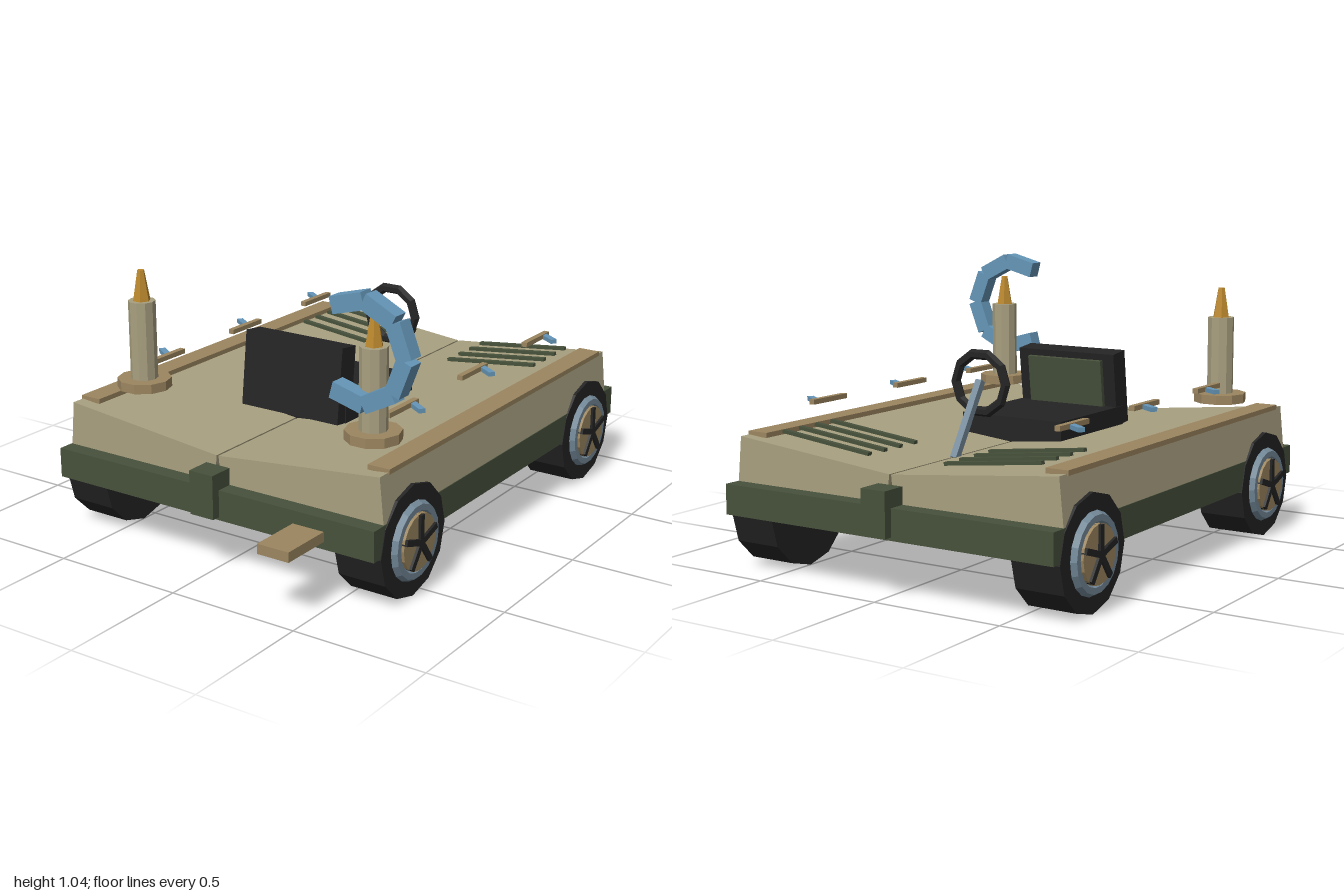
import * as THREE from 'three';

const mat = (name, color) => {
  const m = new THREE.MeshStandardMaterial({ color, flatShading: true });
  m.name = name;
  return m;
};

export function createModel() {
  const beige = mat('beige', 0xa8a080), brown = mat('brown', 0x9c8660);
  const green = mat('green', 0x47513b), black = mat('black', 0x242425);
  const blue = mat('blue', 0x6596b8), steel = mat('steel', 0x748a9a);
  const gold = mat('gold', 0xbd8a2e);

  const model = new THREE.Group();
  model.name = 'buggy';

  const add = (name, geo, material, x, y, z, parent = model) => {
    const mesh = new THREE.Mesh(geo, material);
    mesh.name = name;
    mesh.position.set(x, y, z);
    parent.add(mesh);
    return mesh;
  };
  const box = (name, material, w, h, d, x, y, z, parent) =>
    add(name, new THREE.BoxGeometry(w, h, d), material, x, y, z, parent);
  // Upright cylinder with a corner pointing along x
  const post = (name, material, rTop, rBottom, y0, y1, sides, parent) => {
    const geo = new THREE.CylinderGeometry(rTop, rBottom, y1 - y0, sides);
    geo.rotateY(Math.PI / 2);
    return add(name, geo, material, 0, (y0 + y1) / 2, 0, parent);
  };

  // Chassis, bumper blocks and front plank
  box('chassis', green, 1.36, 0.11, 1.77, 0, 0.263, -0.083);
  box('frontBumperBlock', green, 0.1, 0.16, 0.1, 0, 0.3, 0.785);
  box('rearBumperBlock', green, 0.1, 0.16, 0.1, 0, 0.3, -0.95);
  box('frontPlank', brown, 0.125, 0.036, 0.24, 0.422, 0.253, 0.88);

  for (const s of [1, -1]) {
    // Tilted half of the body, leaving a narrow centre seam
    const half = new THREE.BoxGeometry(0.66, 0.18, 1.645);
    half.translate(0.33, -0.09, 0);
    if (s < 0) half.rotateY(Math.PI);
    box('rail', brown, 0.085, 0.018, 1.55, s * 0.624, 0.484, -0.085);
    const body = add('bodyHalf', half, beige, s * 0.004, 0.415, -0.082);
    body.rotation.z = s * 0.1;

    // Rear vent slats
    for (let i = 0; i < 4; i++) {
      const slat = box('ventSlat', green, 0.385, 0.012, 0.02, s * 0.35, 0.475, -0.81 + i * 0.087);
      slat.rotation.z = s * 0.113;
    }

    // Side handles with slanted pegs
    for (const z of [0.38, -0.105, -0.595]) {
      box('handleBar', brown, 0.022, 0.018, 0.185, s * 0.518, 0.586, z);
      const peg = box('handlePeg', blue, 0.08, 0.016, 0.024, s * 0.557, 0.584, z - 0.037);
      peg.rotation.y = -0.6;
    }

    // Lamp posts
    const lamp = new THREE.Group();
    lamp.name = 'lampPost';
    lamp.position.set(s * 0.5, 0, 0.53);
    post('lampBase', brown, 0.1, 0.1, 0.515, 0.55, 10, lamp);
    post('lampColumn', beige, 0.05, 0.05, 0.55, 0.842, 10, lamp);
    post('lampFlame', gold, 0.013, 0.033, 0.842, 0.955, 6, lamp);
    model.add(lamp);

    // Wheels, outward along local +x
    for (const z of [0.562, -0.733]) {
      const wheel = new THREE.Group();
      wheel.name = 'wheel';
      wheel.position.set(0, 0.202, z);
      if (s < 0) wheel.rotation.y = Math.PI;
      const disc = (name, material, r, x0, x1, sides) => {
        const geo = new THREE.CylinderGeometry(r, r, x1 - x0, sides);
        geo.rotateZ(-Math.PI / 2);
        return add(name, geo, material, (x0 + x1) / 2, 0, 0, wheel);
      };
      disc('tyre', black, 0.202, 0.5, 0.683, 12);
      disc('hubDisc', brown, 0.102, 0.67, 0.708, 16);
      const ring = new THREE.TorusGeometry(0.12, 0.022, 6, 18);
      ring.rotateY(Math.PI / 2);
      add('rim', ring, steel, 0.683, 0, 0, wheel);
      for (let i = 0; i < 5; i++) {
        const geo = new THREE.BoxGeometry(0.03, 0.1, 0.022);
        geo.translate(0, 0.05, 0);
        add('spoke', geo, black, 0.703, 0, 0, wheel).rotation.x = (i * 2 * Math.PI) / 5;
      }
      model.add(wheel);
    }
  }

  // Seat facing the steering wheel
  box('seatBase', black, 0.432, 0.1, 0.45, 0, 0.457, 0.047);
  const back = new THREE.Group();
  back.name = 'seatBack';
  back.position.set(0, 0.576, 0.262);
  back.rotation.x = -0.12;
  box('backrest', black, 0.424, 0.28, 0.085, 0, 0, 0, back);
  box('backPad', green, 0.325, 0.21, 0.02, 0, 0.01, -0.05, back);
  model.add(back);

  // Steering wheel and slanted column
  add('steeringWheel', new THREE.TorusGeometry(0.107, 0.019, 6, 10), black, 0, 0.657, -0.373);
  const low = new THREE.Vector3(0, 0.41, -0.535), high = new THREE.Vector3(0, 0.665, -0.375);
  const column = box('steeringColumn', steel, 0.026, low.distanceTo(high), 0.026, 0, 0, 0);
  column.position.lerpVectors(low, high, 0.5);
  column.rotation.x = Math.atan2(high.z - low.z, high.y - low.y);

  // Open hoop of straight blocks around the left lamp
  const hoop = new THREE.Group();
  hoop.name = 'hoop';
  hoop.position.set(0.493, 0.838, 0.59);
  for (let i = 0; i < 6; i++) {
    const a = THREE.MathUtils.degToRad(-105 + i * 42);
    const block = box('hoopBlock', blue, 0.06, 0.128, 0.06,
      Math.cos(a) * 0.167, Math.sin(a) * 0.167, 0, hoop);
    block.rotation.z = a;
  }
  model.add(hoop);

  return model;
}
